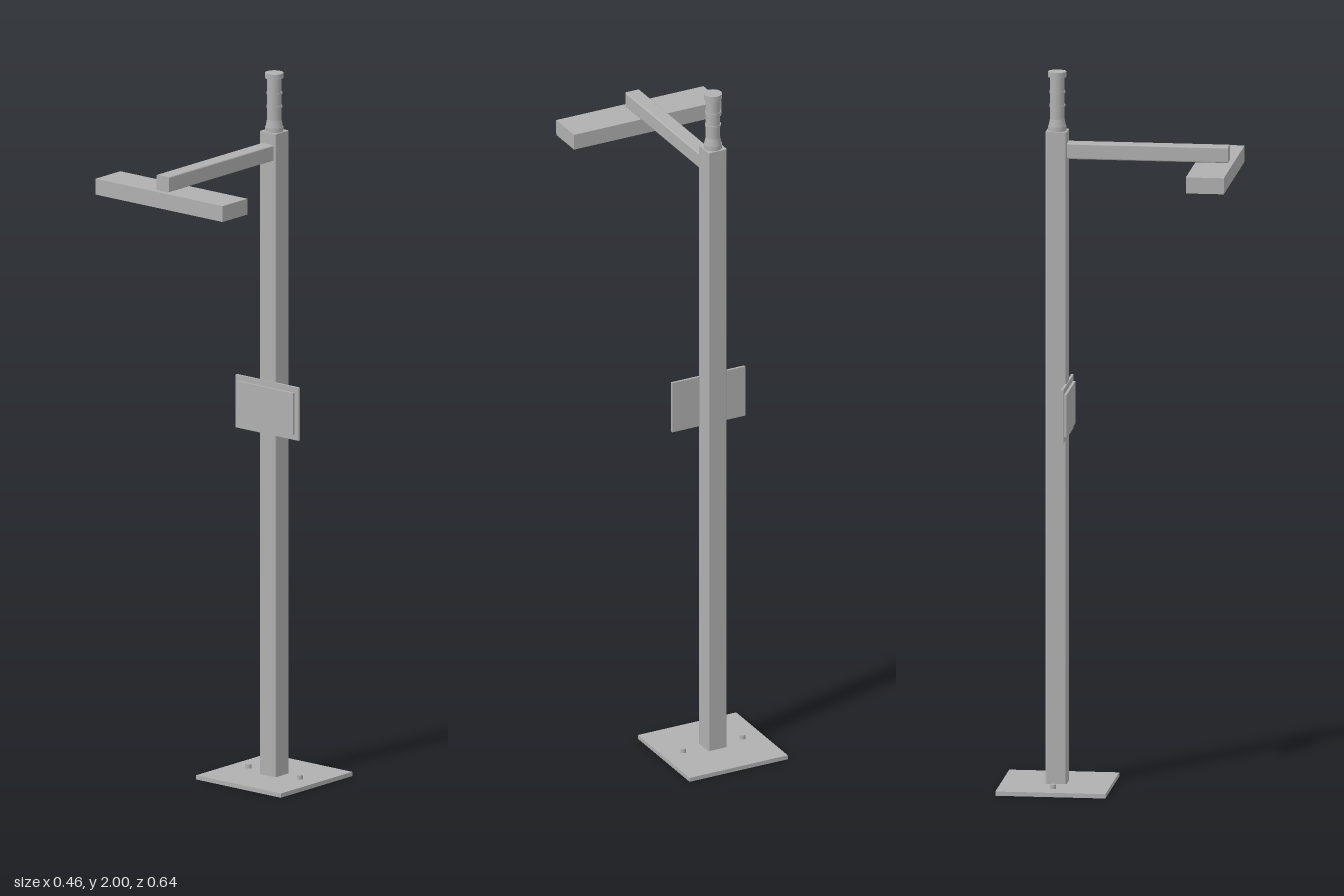
import * as THREE from 'three';

const POST_Z = -0.17;

function roundedRect(w, d, r) {
  const s = new THREE.Shape();
  const x = w / 2, y = d / 2;
  s.moveTo(-x + r, -y);
  s.lineTo(x - r, -y);
  s.absarc(x - r, -y + r, r, -Math.PI / 2, 0);
  s.lineTo(x, y - r);
  s.absarc(x - r, y - r, r, 0, Math.PI / 2);
  s.lineTo(-x + r, y);
  s.absarc(-x + r, y - r, r, Math.PI / 2, Math.PI);
  s.lineTo(-x, -y + r);
  s.absarc(-x + r, -y + r, r, Math.PI, Math.PI * 1.5);
  return s;
}

export function createModel() {
  const model = new THREE.Group();
  const metal = new THREE.MeshStandardMaterial({ color: 0xb0b0b0 });
  metal.name = 'grey metal';

  function add(name, geometry, x = 0, y = 0, z = 0, parent = model) {
    const mesh = new THREE.Mesh(geometry, metal);
    mesh.name = name;
    mesh.position.set(x, y, z);
    parent.add(mesh);
    return mesh;
  }

  // Box given by its limits on each axis, centred on x
  function box(name, width, y0, y1, z0, z1) {
    return add(name, new THREE.BoxGeometry(width, y1 - y0, z1 - z0), 0, (y0 + y1) / 2, (z0 + z1) / 2);
  }

  // Base plate and its two anchor bolts
  box('basePlate', 0.304, 0, 0.012, -0.322, -0.018);
  for (const side of [-1, 1]) {
    add(side > 0 ? 'leftBolt' : 'rightBolt', new THREE.CylinderGeometry(0.008, 0.008, 0.012, 20), side * 0.092, 0.018, POST_Z);
  }

  // Square post with softened corners
  const postGeometry = new THREE.ExtrudeGeometry(roundedRect(0.058, 0.058, 0.005), { depth: 1.823, bevelEnabled: false, curveSegments: 4 });
  add('post', postGeometry, 0, 0.012, POST_Z).rotation.x = -Math.PI / 2;

  // Arm reaching forward to the lamp
  const armGeometry = new THREE.ExtrudeGeometry(roundedRect(0.044, 0.044, 0.004), { depth: 0.445, bevelEnabled: false, curveSegments: 4 });
  add('arm', armGeometry, 0, 1.781, -0.141);

  // Lamp head: a rim around a slightly recessed lens
  box('lampHousing', 0.456, 1.72, 1.759, 0.214, 0.319);
  const rim = roundedRect(0.456, 0.105, 0.0005);
  rim.holes.push(new THREE.Path(roundedRect(0.436, 0.085, 0.0005).getPoints(2)));
  add('lampRim', new THREE.ExtrudeGeometry(rim, { depth: 0.006, bevelEnabled: false, curveSegments: 2 }), 0, 1.714, 0.2665).rotation.x = -Math.PI / 2;

  // Display panel with a raised screen
  box('panelBack', 0.226, 0.981, 1.131, -0.146, -0.139);
  box('panelScreen', 0.198, 0.997, 1.115, -0.139, -0.132);

  // Signal beacon: stepped column of stacked drums
  const beacon = new THREE.Group();
  beacon.name = 'beacon';
  beacon.position.z = POST_Z;
  model.add(beacon);
  const drums = [
    ['beaconFoot', 1.835, 1.848, 0.025, 0.025],
    ['beaconCollar', 1.848, 1.868, 0.024, 0.02],
    ['lowerDrum', 1.868, 1.902, 0.02, 0.02],
    ['lowerRing', 1.902, 1.908, 0.022, 0.022],
    ['middleDrum', 1.908, 1.94, 0.02, 0.02],
    ['upperRing', 1.94, 1.946, 0.022, 0.022],
    ['upperDrum', 1.946, 1.985, 0.02, 0.02],
    ['beaconCap', 1.985, 2.0, 0.025, 0.025],
  ];
  for (const [name, y0, y1, bottom, top] of drums) {
    add(name, new THREE.CylinderGeometry(top, bottom, y1 - y0, 40), 0, (y0 + y1) / 2, 0, beacon);
  }

  return model;
}
